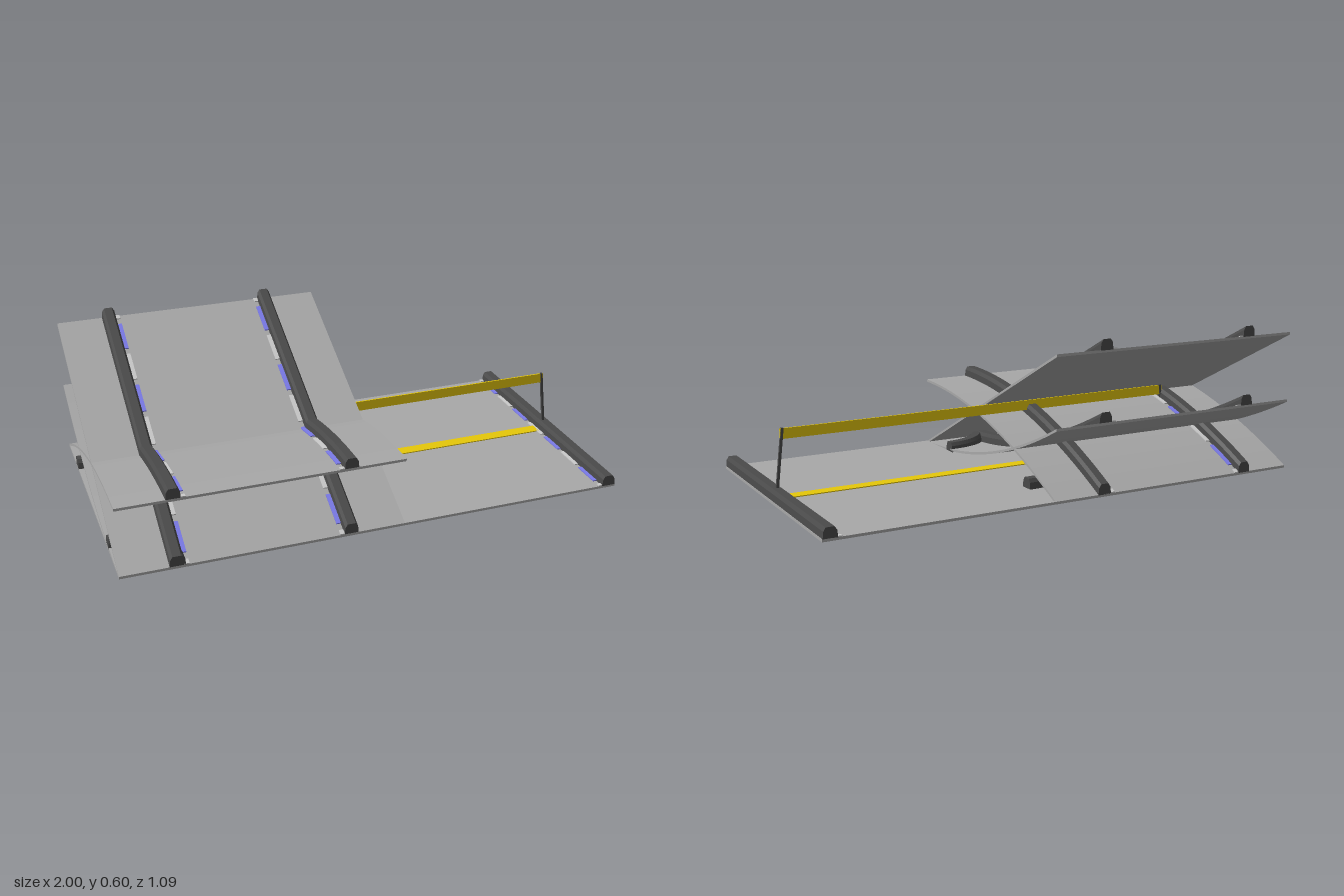
import * as THREE from 'three';

const GREY = 0x4a4a4a, SHEET = 0xa8a8a8, YELLOW = 0xe6c80a, BLUE = 0x7b7bea, WHITE = 0xcccccc;
const HALF = 0.545;               // half length of a tile in z
const MID = -0.455;               // centre line of the narrow tiles
const LEFT = -0.79, RIGHT = -0.125, FAR = 0.97; // guard rail positions

const mat = (color) => new THREE.MeshStandardMaterial({ color, flatShading: true });

// Sweeps a closed counter-clockwise profile along stations { p, s } (point and sideways direction)
function sweep(name, profile, path, color) {
  const n = profile.length, pos = [], index = [];
  for (const { p, s } of path)
    for (const [u, v] of profile) pos.push(p.x + s.x * u, p.y + v, p.z + s.z * u);
  for (let i = 0; i < path.length - 1; i++)
    for (let j = 0; j < n; j++) {
      const k = (j + 1) % n, a = i * n + j, b = i * n + k;
      index.push(a, a + n, b, b, a + n, b + n);
    }
  const last = (path.length - 1) * n;
  for (let j = 1; j < n - 1; j++) {
    index.push(0, j, j + 1);
    index.push(last, last + j + 1, last + j);
  }
  let geo = new THREE.BufferGeometry();
  geo.setAttribute('position', new THREE.Float32BufferAttribute(pos, 3));
  geo.setIndex(index);
  geo = geo.toNonIndexed();
  geo.computeVertexNormals();
  const mesh = new THREE.Mesh(geo, mat(color));
  mesh.name = name;
  return mesh;
}

const rect = (w, y0, y1) => [[-w / 2, y0], [w / 2, y0], [w / 2, y1], [-w / 2, y1]];
const RAIL = [[-0.028, 0.008], [0.028, 0.008], [0.025, 0.036], [0.016, 0.05], [-0.016, 0.05], [-0.025, 0.036]];

// Path from front to back at a fixed x, with the height given as a function of t
function run(x, height, z0 = HALF, z1 = -HALF, steps = 24) {
  const path = [];
  for (let i = 0; i <= steps; i++) {
    const z = z0 + (z1 - z0) * i / steps;
    path.push({ p: new THREE.Vector3(x, height((HALF - z) / (2 * HALF)), z), s: new THREE.Vector3(1, 0, 0) });
  }
  return path;
}

// Quarter turn from the front edge; dir -1 turns to the -x side, +1 to the +x side
function turn(r, dir, steps = 20) {
  const cx = MID + dir * HALF, path = [];
  for (let i = 0; i <= steps; i++) {
    const a = i / steps * Math.PI / 2, c = Math.cos(a), s = Math.sin(a);
    path.push({ p: new THREE.Vector3(cx - dir * r * c, 0, HALF - r * s), s: new THREE.Vector3(c, 0, dir * s) });
  }
  return path;
}

// Alternating painted dashes beside a rail
function addDashes(group, x, height) {
  for (let k = -4; k <= 4; k++) {
    const z0 = Math.min(HALF, k * 0.147 + 0.06), z1 = Math.max(-HALF, k * 0.147 - 0.06);
    group.add(sweep('curbDash', rect(0.018, 0.009, 0.014), run(x, height, z0, z1, 4), k % 2 ? BLUE : WHITE));
  }
}

// Sloping road sheet with two rails and their dashes
function makeRamp(name, height, steps) {
  const ramp = new THREE.Group();
  ramp.name = name;
  ramp.add(sweep('roadSheet', rect(HALF * 2, 0, 0.01), run(MID, height, HALF, -HALF, steps), SHEET));
  for (const [x, inward] of [[LEFT, 1], [RIGHT, -1]]) {
    ramp.add(sweep('guardRail', RAIL, run(x, height, HALF, -HALF, steps), GREY));
    addDashes(ramp, x + inward * 0.036, height);
  }
  return ramp;
}

function addBox(group, name, w, h, d, x, y, z, color) {
  const box = new THREE.Mesh(new THREE.BoxGeometry(w, h, d), mat(color));
  box.position.set(x, y, z);
  box.name = name;
  group.add(box);
  return box;
}

export function createModel() {
  const model = new THREE.Group();
  model.name = 'trackPieces';
  const flat = () => 0;

  // Wide flat piece with outer rails
  const wide = new THREE.Group();
  wide.name = 'widePiece';
  addBox(wide, 'basePlate', 2, 0.01, HALF * 2, 0, 0.005, 0, SHEET);
  for (const [x, inward] of [[LEFT, 1], [FAR, -1]]) {
    wide.add(sweep('guardRail', RAIL, run(x, flat, HALF, -HALF, 1), GREY));
    addDashes(wide, x + inward * 0.034, flat);
  }
  model.add(wide);

  // Gantry: painted line, banner and two leaning posts
  const gantry = new THREE.Group();
  gantry.name = 'gantry';
  addBox(gantry, 'paintedLine', 1.69, 0.004, 0.05, 0.09, 0.012, 0, YELLOW);
  addBox(gantry, 'banner', 1.72, 0.04, 0.006, 0.09, 0.253, 0, YELLOW);
  for (const side of [-1, 1]) {
    const post = addBox(gantry, 'post', 0.01, 0.235, 0.01, 0.09 + side * 0.864, 0.158, 0, GREY);
    post.rotation.z = side * 0.115;
  }
  model.add(gantry);

  // Flat quarter turns to either side
  for (const dir of [-1, 1]) {
    const bend = new THREE.Group();
    bend.name = dir < 0 ? 'rightTurn' : 'leftTurn';
    for (const r of [0.215, 0.875]) bend.add(sweep('guardRail', RAIL, turn(r, dir), GREY));
    model.add(bend);
  }

  // Straight, rising and levelling ramps
  model.add(makeRamp('straightRamp', (t) => 0.55 * t, 1));
  model.add(makeRamp('risingRamp', (t) => 0.275 * t * t, 24));
  model.add(makeRamp('fallingRamp', (t) => 0.275 * (1 - t * t), 24));
  return model;
}
